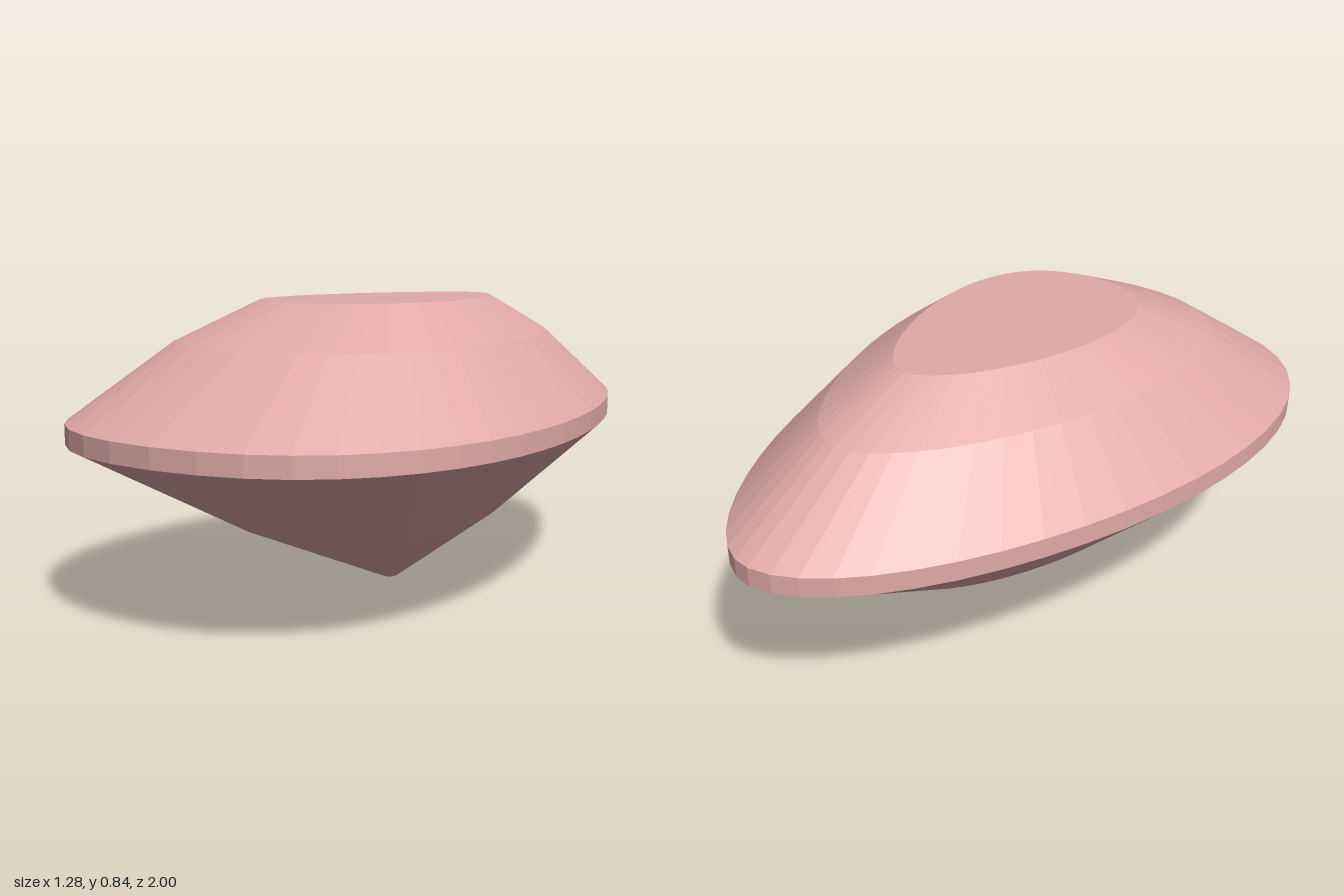
import * as THREE from 'three';

const SEGMENTS = 24; // per half of the outline

export function createModel() {
  const group = new THREE.Group();
  const pink = new THREE.MeshStandardMaterial({ color: 0xe0aaa6 });
  pink.name = 'pink';

  // Slightly skewed pear outline (x, z): blunt front, round by +x to the narrow back, and home by -x
  const shape = new THREE.Shape();
  shape.moveTo(-0.01, 1);
  shape.bezierCurveTo(1.13, 1, 0.51, -1, 0.09, -1);
  shape.bezierCurveTo(-0.43, -1, -1.2, 1, -0.01, 1);
  const outline = shape.getPoints(SEGMENTS).slice(0, 2 * SEGMENTS);
  const sides = outline.length;

  // Outline shrunk towards the gem's axis at a given height
  const ring = ([scale, y]) => outline.map((p) => [0.02 + (p.x - 0.02) * scale, y, p.y * scale]);

  function addPart(name, positions) {
    const geometry = new THREE.BufferGeometry();
    geometry.setAttribute('position', new THREE.Float32BufferAttribute(positions.flat(), 3));
    geometry.computeVertexNormals(); // unshared corners give flat facets
    const mesh = new THREE.Mesh(geometry, pink);
    mesh.name = name;
    group.add(mesh);
  }

  // Faceted band through levels of [scale, height], listed upwards
  function band(name, levels) {
    const faces = [];
    for (let k = 0; k < levels.length - 1; k++) {
      const low = ring(levels[k]), high = ring(levels[k + 1]);
      for (let i = 0; i < sides; i++) {
        const j = (i + 1) % sides;
        faces.push(low[i], low[j], high[j], low[i], high[j], high[i]);
      }
    }
    addPart(name, faces);
  }

  // Flat cap facing up or down
  function cap(name, level, up) {
    const edge = ring(level), centre = [0.02, level[1], 0], faces = [];
    for (let i = 0; i < sides; i++) {
      const j = (i + 1) % sides;
      faces.push(centre, edge[up ? i : j], edge[up ? j : i]);
    }
    addPart(name, faces);
  }

  cap('culet', [0.033, 0], false);
  band('pavilion', [[0.033, 0], [0.515, 0.21], [1, 0.475]]);
  band('girdle', [[1, 0.475], [1, 0.53]]);
  band('crown', [[1, 0.53], [0.69, 0.73], [0.428, 0.84]]);
  cap('table', [0.428, 0.84], true);
  return group;
}
